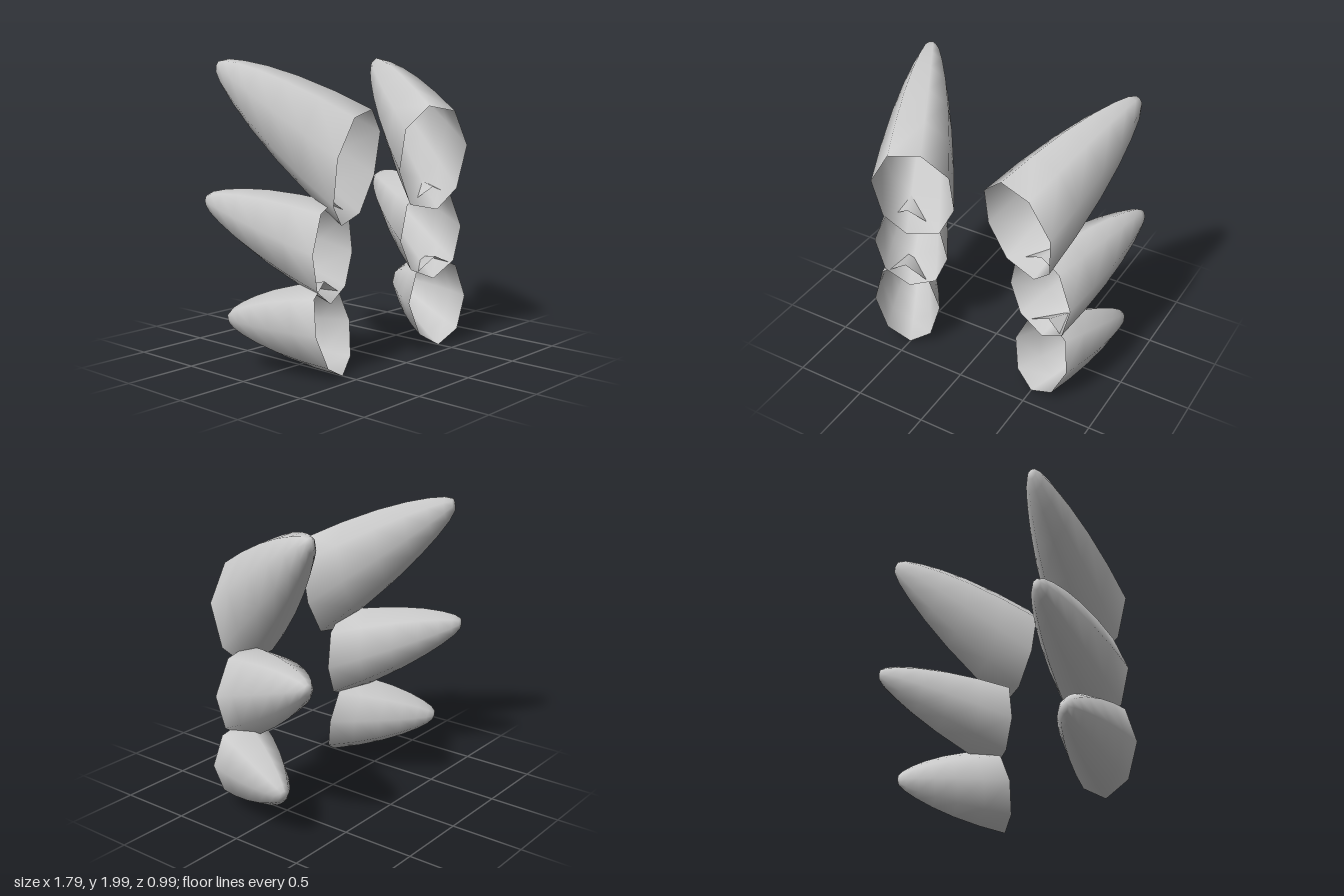
import * as THREE from 'three';

// Each spike: eight-cornered open base (x, y clockwise from the top), base plane and tip.
const SPIKES = [
  {
    name: 'upperSpike',
    base: [[0.29, 1.68], [0.51, 1.64], [0.66, 1.40], [0.63, 1.10], [0.49, 0.96], [0.26, 1.01], [0.13, 1.25], [0.13, 1.53]],
    center: [0.39, 1.34, 0.41], slope: [0.26, 0.18], tip: [0.77, 1.94, -0.44],
  },
  {
    name: 'middleSpike',
    base: [[0.51, 1.11], [0.66, 1.05], [0.76, 0.81], [0.70, 0.57], [0.53, 0.46], [0.34, 0.54], [0.25, 0.75], [0.30, 1.00]],
    center: [0.51, 0.79, 0.31], slope: [0.26, 0.01], tip: [0.85, 1.08, -0.48],
  },
  {
    name: 'lowerSpike',
    base: [[0.57, 0.61], [0.73, 0.53], [0.77, 0.31], [0.67, 0.09], [0.50, 0.00], [0.36, 0.09], [0.31, 0.31], [0.40, 0.51]],
    center: [0.54, 0.31, 0.34], slope: [0.3, -0.18], tip: [0.85, 0.33, -0.28],
  },
];

// Taper from open base to blunt tip: [distance along the axis, ring scale]
const TAPER = [[0, 1], [0.25, 0.89], [0.5, 0.73], [0.7, 0.555], [0.85, 0.385], [0.95, 0.24], [1, 0.12]];

function spikeGeometry({ base, center, slope, tip }, side) {
  const [cx, cy, cz] = center;
  const n = base.length;
  const positions = [];
  const index = [];

  // Rings shrink along the axis from base to tip
  for (const [t, s] of TAPER) {
    for (const [x, y] of base) {
      const dx = x - cx;
      const dy = y - cy;
      const dz = slope[0] * dx + slope[1] * dy;
      positions.push(
        side * (THREE.MathUtils.lerp(cx, tip[0], t) + dx * s),
        THREE.MathUtils.lerp(cy, tip[1], t) + dy * s,
        THREE.MathUtils.lerp(cz, tip[2], t) + dz * s,
      );
    }
  }
  // Centre of the blunt end
  positions.push(side * tip[0], tip[1], tip[2] - 0.01);

  // Mirrored spikes need the opposite winding
  const face = (a, b, c) => (side > 0 ? index.push(a, b, c) : index.push(a, c, b));
  const last = TAPER.length - 1;
  for (let i = 0; i < n; i++) {
    const j = (i + 1) % n;
    for (let k = 0; k < last; k++) {
      const a = k * n + i;
      const b = k * n + j;
      face(a, b, a + n);
      face(b, b + n, a + n);
    }
    face(last * n + i, last * n + j, (last + 1) * n);
  }

  const geometry = new THREE.BufferGeometry();
  geometry.setAttribute('position', new THREE.Float32BufferAttribute(positions, 3));
  geometry.setIndex(index);
  geometry.computeVertexNormals();
  return geometry;
}

export function createModel() {
  const model = new THREE.Group();
  model.name = 'hairSpikes';
  const material = new THREE.MeshStandardMaterial({ color: 0xcccccc, side: THREE.DoubleSide });

  // Three hollow spikes fan out on each side
  for (const [side, label] of [[1, 'left'], [-1, 'right']]) {
    const cluster = new THREE.Group();
    cluster.name = `${label}Spikes`;
    for (const spike of SPIKES) {
      const mesh = new THREE.Mesh(spikeGeometry(spike, side), material);
      mesh.name = spike.name;
      cluster.add(mesh);
    }
    model.add(cluster);
  }
  return model;
}
